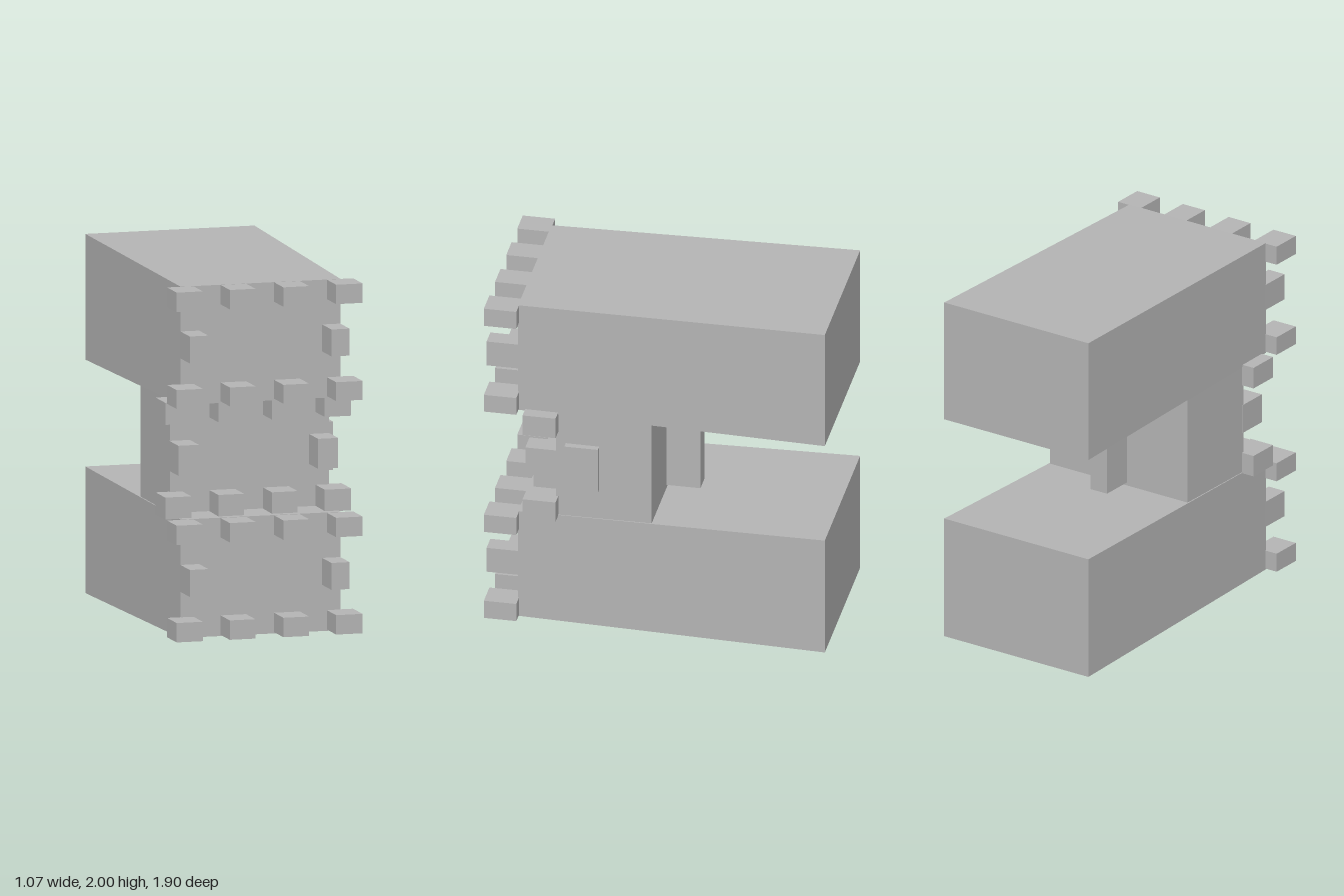
import * as THREE from 'three';

export function createModel() {
  const group = new THREE.Group();
  group.name = 'castleGate';
  const stone = new THREE.MeshStandardMaterial({ color: 0xb4b4b4 });
  stone.name = 'stone';

  // Box given by its minimum and maximum on each axis
  function block(name, [x0, x1], [y0, y1], [z0, z1], parent = group) {
    const mesh = new THREE.Mesh(new THREE.BoxGeometry(x1 - x0, y1 - y0, z1 - z0), stone);
    mesh.position.set((x0 + x1) / 2, (y0 + y1) / 2, (z0 + z1) / 2);
    mesh.name = name;
    parent.add(mesh);
    return mesh;
  }

  // Block that narrows evenly towards its front (+z) end
  function taperedBlock(name, xs, ys, zs, scaleX, scaleY) {
    const mesh = block(name, xs, ys, zs);
    const pos = mesh.geometry.attributes.position;
    for (let i = 0; i < pos.count; i++) {
      if (pos.getZ(i) > 0) pos.setXY(i, pos.getX(i) * scaleX, pos.getY(i) * scaleY);
    }
    mesh.geometry.computeVertexNormals();
  }

  // Ring of merlons: a row of four along two edges, one on each remaining edge
  function battlements(name, rows, side, zs, inner) {
    const ring = new THREE.Group();
    ring.name = name;
    const columns = [[-0.535, -0.385], [-0.23, -0.083], [0.077, 0.225], [0.38, 0.532]];
    for (const row of rows) {
      for (const column of columns) block('merlon', column, row, zs, ring);
    }
    block('sideMerlon', [-0.46, -inner], side, zs, ring);
    block('sideMerlon', [inner, 0.457], side, zs, ring);
    group.add(ring);
  }

  // Two towers
  taperedBlock('upperTower', [-0.485, 0.485], [1.3, 2], [-0.95, 0.775], 0.945, 0.94);
  taperedBlock('lowerTower', [-0.485, 0.485], [0, 0.705], [-0.95, 0.775], 0.945, 0.935);
  battlements('upperBattlements', [[1.87, 1.978], [1.33, 1.435]], [1.58, 1.73], [0.77, 0.952], 0.353);
  battlements('lowerBattlements', [[0.03, 0.138], [0.572, 0.68]], [0.28, 0.43], [0.77, 0.952], 0.353);

  // Gatehouse joining the towers
  taperedBlock('gatehouse', [-0.463, 0.463], [0.66, 1.34], [0.025, 0.563], 0.987, 1);
  battlements('gatehouseBattlements', [[1.207, 1.33], [0.68, 0.802]], [0.92, 1.087], [0.55, 0.735], 0.342);

  // Raised panel on the left wall and the rib behind the gatehouse
  block('wallPanel', [0.44, 0.497], [0.87, 1.14], [0.32, 0.508]);
  block('rearRib', [-0.055, 0.055], [0.71, 1.297], [-0.165, 0.04]);

  return group;
}
